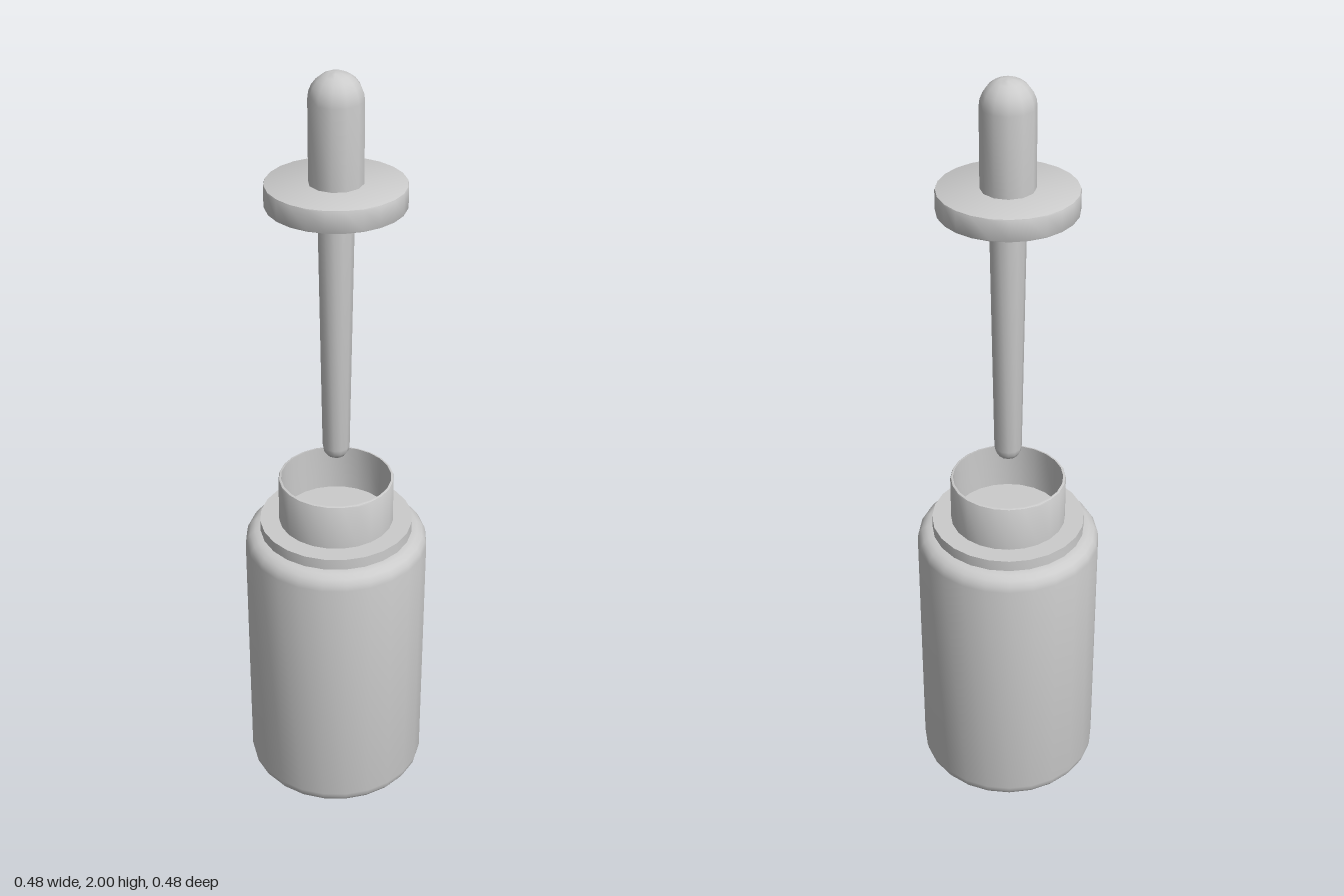
import * as THREE from 'three';
import { toCreasedNormals } from 'three/addons/utils/BufferGeometryUtils.js';

const material = new THREE.MeshStandardMaterial({ color: 0xcccccc });

// Points of a quarter round around (cx, cy), angles in degrees
function arc(cx, cy, r, from, to, steps = 4) {
  const points = [];
  for (let i = 0; i <= steps; i++) {
    const a = THREE.MathUtils.degToRad(from + ((to - from) * i) / steps);
    points.push([Math.max(0, cx + r * Math.cos(a)), cy + r * Math.sin(a)]);
  }
  return points;
}

// Turned part from a [radius, height] profile running upwards on the outside
function turned(name, profile, sides) {
  const points = profile.map(([r, y]) => new THREE.Vector2(r, y));
  const geometry = toCreasedNormals(new THREE.LatheGeometry(points, sides), 0.7);
  const mesh = new THREE.Mesh(geometry, material);
  mesh.name = name;
  return mesh;
}

export function createModel() {
  const model = new THREE.Group();
  model.name = 'dropperBottle';

  // Bottle with rounded base and shoulder
  const bottle = new THREE.Group();
  bottle.name = 'bottle';
  bottle.add(
    turned('body', [
      [0, 0],
      ...arc(0.2, 0.04, 0.04, -90, 0),
      ...arc(0.2, 0.735, 0.04, 0, 90),
      [0, 0.775],
    ], 24),
    turned('collar', [[0, 0.77], [0.2, 0.77], [0.2, 0.805], [0, 0.805]], 24),
    // Open neck with a thin wall
    turned('neck', [
      [0.15, 0.8],
      ...arc(0.145, 0.925, 0.005, 0, 90, 2),
      [0.143, 0.93],
      [0.143, 0.8],
    ], 24),
  );

  // Dropper raised above the bottle
  const dropper = new THREE.Group();
  dropper.name = 'dropper';
  dropper.add(
    turned('cap', [
      [0, 1.68],
      ...arc(0.166, 1.684, 0.004, -90, 0, 2),
      ...arc(0.166, 1.733, 0.004, 0, 90, 2),
      [0, 1.737],
    ], 24),
    turned('bulb', [[0.066, 1.73], ...arc(0, 1.934, 0.066, 0, 90, 6)], 12),
    turned('pipette', [...arc(0, 1.025, 0.035, -90, 0), [0.045, 1.69]], 12),
  );

  model.add(bottle, dropper);
  return model;
}
